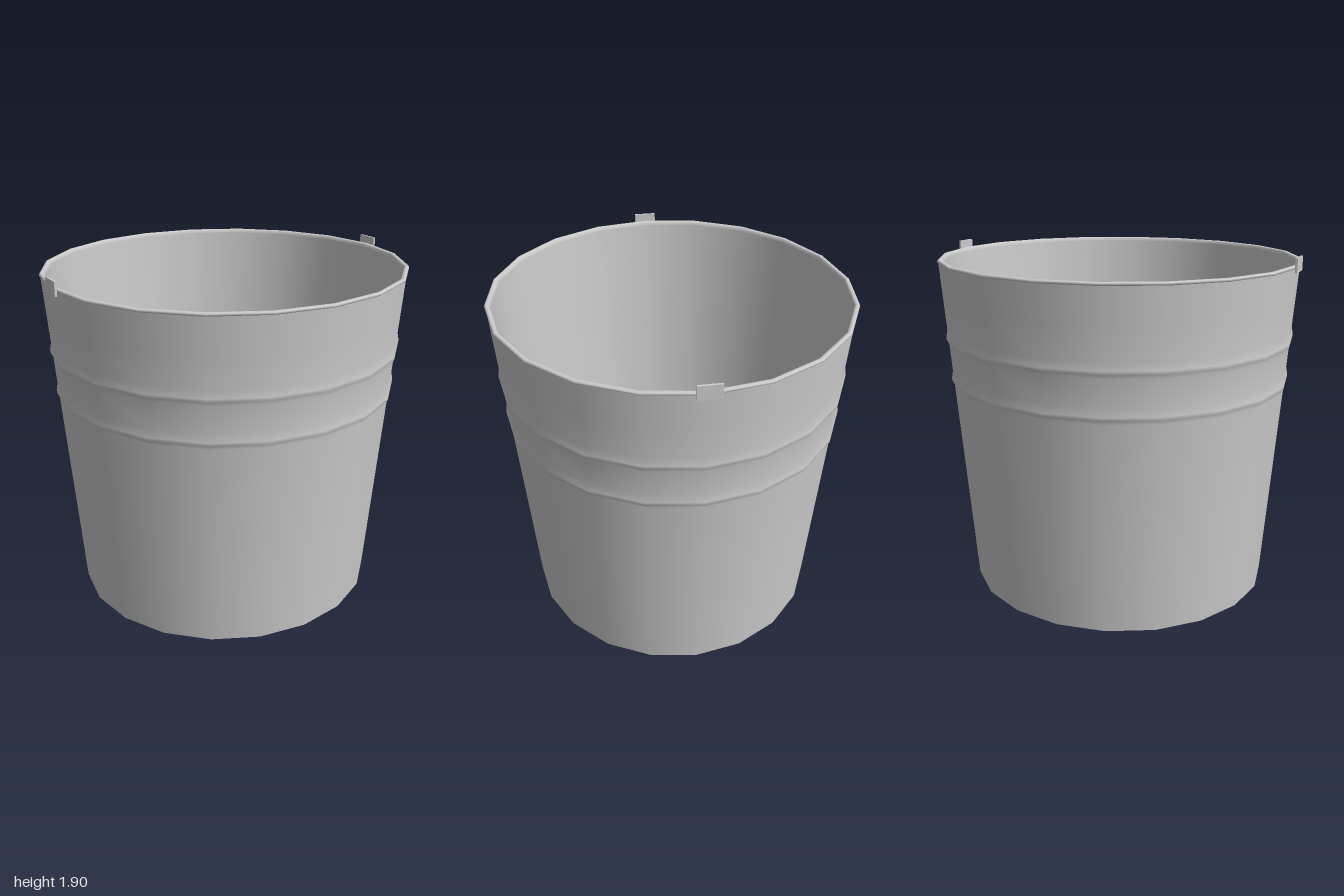
import * as THREE from 'three';

const SIDES = 20;
const DEPTH = 0.97; // slightly oval: z is a little narrower than x

export function createModel() {
  const bucket = new THREE.Group();
  bucket.name = 'bucket';
  const metal = new THREE.MeshStandardMaterial({ color: 0xcccccc });

  // Each section is its own lathe, so edges between sections stay sharp.
  const turned = (name, profile) => {
    const points = profile.map(([r, y]) => new THREE.Vector2(r, y));
    const geometry = new THREE.LatheGeometry(points, SIDES).scale(1, 1, DEPTH);
    const mesh = new THREE.Mesh(geometry, metal);
    mesh.name = name;
    bucket.add(mesh);
  };

  // Radius of the tapering outer wall at a height
  const wall = (y) => 0.853 + 0.0735 * y;
  // Raised hoop around the wall
  const rib = (y) => [
    [wall(y - 0.035), y - 0.035],
    [wall(y) + 0.01, y - 0.012],
    [wall(y) + 0.011, y + 0.006],
    [wall(y + 0.045), y + 0.045],
  ];

  turned('underside', [[0, 0], [wall(0), 0.012]]);
  turned('outerWall', [
    [wall(0.012), 0.012], [wall(0.6), 0.6],
    ...rib(1.21), ...rib(1.44),
    [wall(1.65), 1.65], [wall(1.845), 1.845],
  ]);

  // Rolled rim
  turned('rim', [
    [wall(1.845), 1.845], [0.995, 1.849], [0.995, 1.857],
    [0.988, 1.862], [0.976, 1.862], [0.968, 1.855], [0.966, 1.842],
  ]);

  turned('innerWall', [[0.966, 1.842], [0.83, 0.03]]);
  turned('floor', [[0.83, 0.03], [0, 0.03]]);

  // Small upright handle tabs on both sides
  for (const side of [1, -1]) {
    const tab = new THREE.Mesh(new THREE.BoxGeometry(0.012, 0.075, 0.12), metal);
    tab.name = side > 0 ? 'leftHandleTab' : 'rightHandleTab';
    tab.position.set(side * 0.994, 1.865, 0);
    bucket.add(tab);
  }

  return bucket;
}
